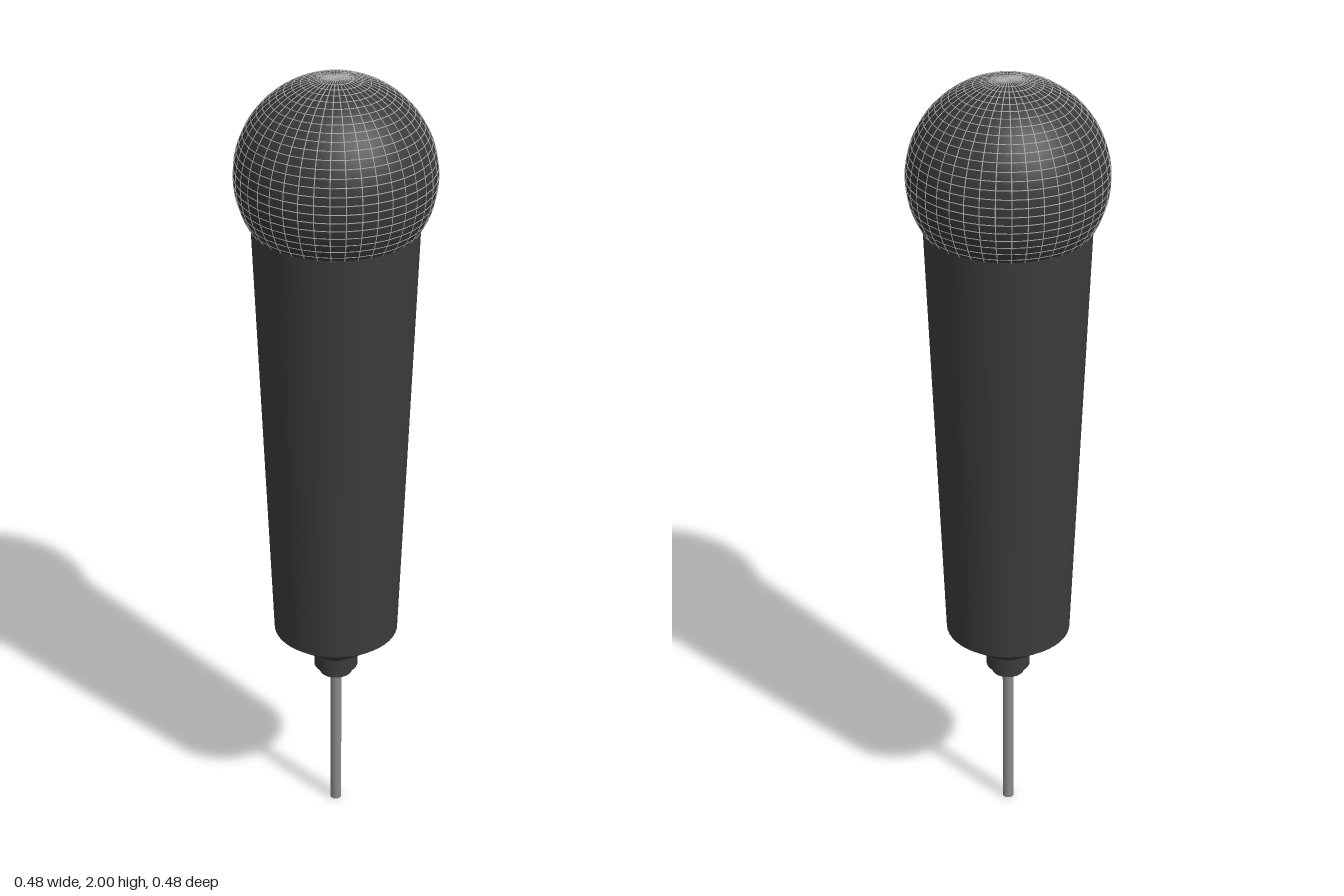
import * as THREE from 'three';
import { mergeGeometries } from 'three/addons/utils/BufferGeometryUtils.js';

export function createModel() {
  const model = new THREE.Group();
  const mat = (color) => new THREE.MeshStandardMaterial({ color });
  const black = mat(0x3c3c3c), dark = mat(0x383838), wire = mat(0xb0b0b0), grey = mat(0x8a8a8a);

  const add = (name, geometry, material, y = 0) => {
    const mesh = new THREE.Mesh(geometry, material);
    mesh.name = name;
    mesh.position.y = y;
    model.add(mesh);
  };
  // Upright cylinder or cone between two heights
  const turned = (name, rTop, rBottom, yTop, yBottom, material, sides = 48) =>
    add(name, new THREE.CylinderGeometry(rTop, rBottom, yTop - yBottom, sides), material, (yTop + yBottom) / 2);

  // Grille ball
  const R = 0.2385, headY = 1.76;
  add('grilleBall', new THREE.SphereGeometry(R, 40, 36), dark, headY);

  // Wire mesh: horizontal rings every 5 degrees, crossed by vertical hoops
  const wires = [], thick = 0.0013;
  for (let i = 1; i < 29; i++) {
    const a = (i * Math.PI) / 36;
    wires.push(new THREE.TorusGeometry(R * Math.sin(a), thick, 4, 40)
      .rotateX(Math.PI / 2).translate(0, R * Math.cos(a), 0));
  }
  for (let i = 0; i < 20; i++) {
    wires.push(new THREE.TorusGeometry(R, thick, 4, 72).rotateY((i * Math.PI) / 20));
  }
  add('grilleWires', mergeGeometries(wires), wire, headY);

  // Handle, tapered end and cable socket
  turned('handle', 0.2, 0.155, 1.63, 0.53, black);
  turned('handleTaper', 0.155, 0.055, 0.53, 0.455, black);
  turned('collar', 0.055, 0.055, 0.457, 0.415, black, 32);
  turned('cableSocket', 0.041, 0.041, 0.416, 0.395, black, 32);

  // Cable
  turned('cable', 0.014, 0.014, 0.4, 0, grey, 16);

  return model;
}
